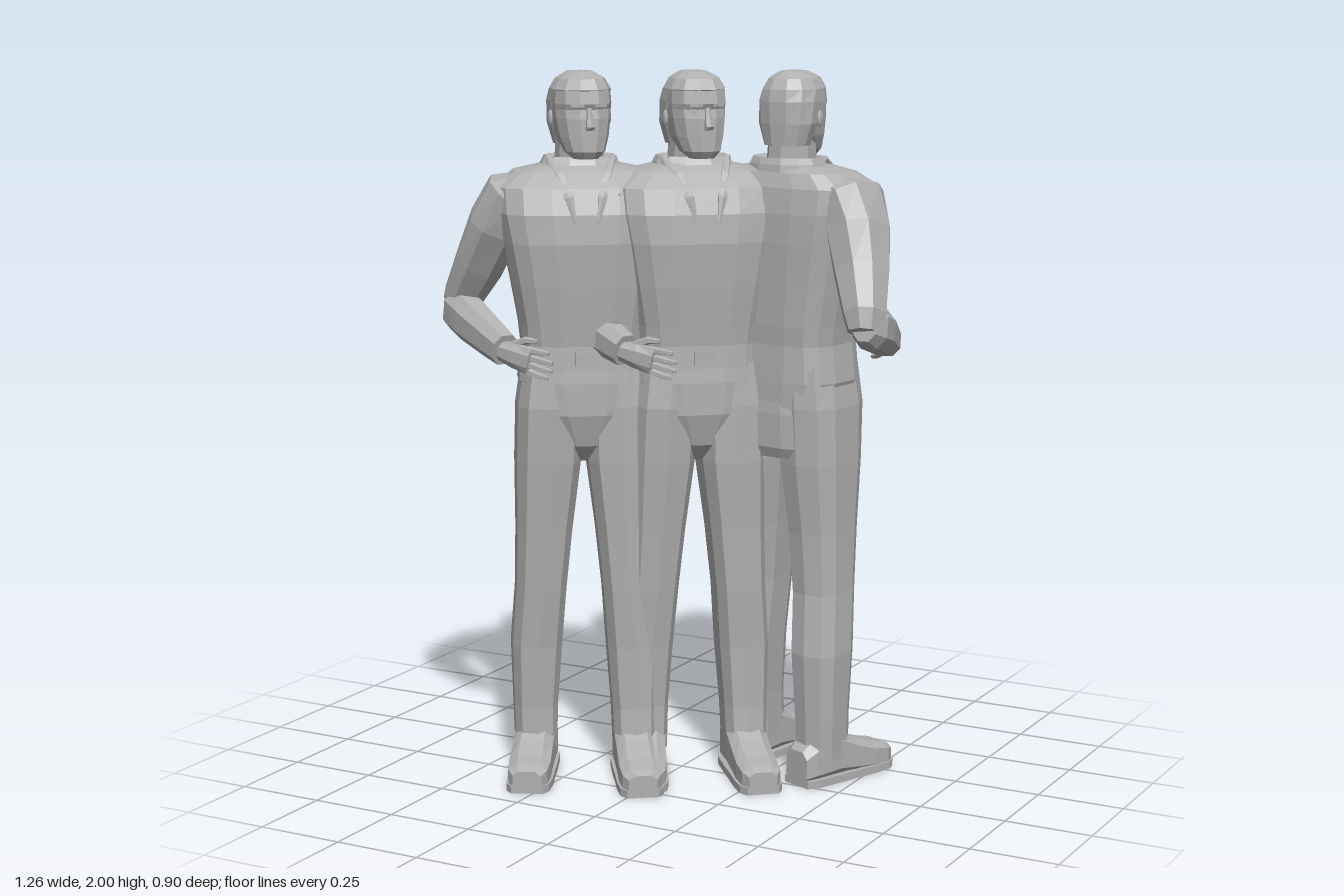
import * as THREE from 'three';

const grey = new THREE.MeshStandardMaterial({ color: 0xb0b0b0 });
grey.name = 'stone grey';
const V = (x, y, z) => new THREE.Vector3(x, y, z);
const Y = V(0, 1, 0), Z = V(0, 0, 1);

function addMesh(parent, name, geometry) {
  const flat = geometry.index ? geometry.toNonIndexed() : geometry;
  flat.computeVertexNormals(); // unshared corners give faceted shading
  const mesh = new THREE.Mesh(flat, grey);
  mesh.name = name;
  parent.add(mesh);
  return mesh;
}

// Closed skin over sections [x, y, z, radiusU, radiusV]; power squares the rings off.
function loft(sections, { sides = 10, axis = null, ref = Z, power = 2.4 } = {}) {
  const pos = [], index = [], n = sections.length;
  const centres = sections.map(s => V(s[0], s[1], s[2]));
  const bend = a => Math.sign(a) * Math.abs(a) ** (2 / power);
  sections.forEach((s, i) => {
    const t = axis ? axis.clone()
      : centres[Math.min(i + 1, n - 1)].clone().sub(centres[Math.max(i - 1, 0)]).normalize();
    const u = t.clone().cross(ref).normalize();
    const v = u.clone().cross(t);
    for (let j = 0; j < sides; j++) {
      const a = (j + 0.5) / sides * Math.PI * 2;
      const p = centres[i].clone()
        .addScaledVector(u, s[3] * bend(Math.cos(a)))
        .addScaledVector(v, s[4] * bend(Math.sin(a)));
      pos.push(p.x, p.y, p.z);
    }
  });
  for (const c of [centres[0], centres[n - 1]]) pos.push(c.x, c.y, c.z);
  for (let j = 0; j < sides; j++) {
    const k = (j + 1) % sides, end = (n - 1) * sides;
    for (let i = 0; i < n - 1; i++) {
      const a = i * sides + j, c = i * sides + k;
      index.push(a, a + sides, c, a + sides, c + sides, c);
    }
    index.push(n * sides, j, k, n * sides + 1, end + k, end + j);
  }
  const g = new THREE.BufferGeometry();
  g.setAttribute('position', new THREE.Float32BufferAttribute(pos, 3));
  g.setIndex(index);
  return g;
}

function box(parent, name, size, at) {
  const m = addMesh(parent, name, new THREE.BoxGeometry(...size));
  m.position.set(...at);
  return m;
}

function buildHead(man) {
  const head = new THREE.Group();
  head.name = 'head';
  head.rotation.y = 0.17;
  man.add(head);
  addMesh(head, 'neck', loft([[0, 1.69, -0.02, 0.07, 0.07], [0, 1.83, -0.015, 0.062, 0.068]], { axis: Y }));
  addMesh(head, 'face', loft([
    [0, 1.765, 0.05, 0.036, 0.036], [0, 1.785, 0.038, 0.056, 0.062], [0, 1.825, 0.014, 0.071, 0.086],
    [0, 1.875, 0.003, 0.079, 0.096], [0, 1.9, 0, 0.081, 0.094], [0, 1.915, 0, 0.082, 0.102],
    [0, 1.955, -0.003, 0.08, 0.098], [0, 1.985, -0.005, 0.055, 0.07]], { axis: Y, sides: 12 }));
  addMesh(head, 'hair', loft([
    [0, 1.8, -0.045, 0.064, 0.058], [0, 1.86, -0.04, 0.083, 0.068], [0, 1.92, -0.026, 0.086, 0.084],
    [0, 1.953, -0.003, 0.083, 0.102], [0, 1.982, -0.003, 0.066, 0.085], [0, 2, -0.008, 0.035, 0.045]],
  { axis: Y, sides: 12, power: 2.2 }));
  addMesh(head, 'nose', loft([
    [0, 1.845, 0.1, 0.015, 0.012], [0, 1.854, 0.105, 0.013, 0.014], [0, 1.905, 0.092, 0.007, 0.009]],
  { axis: Y, sides: 6, power: 2 }));
  box(head, 'mouth', [0.042, 0.007, 0.008], [0, 1.818, 0.096]);
  for (const s of [-1, 1]) {
    box(head, 'brow', [0.036, 0.009, 0.01], [s * 0.032, 1.912, 0.091]).rotation.y = s * 0.25;
    box(head, 'eye', [0.024, 0.008, 0.008], [s * 0.033, 1.892, 0.086]).rotation.y = s * 0.3;
    const ear = addMesh(head, 'ear', new THREE.IcosahedronGeometry(1, 1));
    ear.scale.set(0.007, 0.024, 0.014);
    ear.position.set(s * 0.083, 1.872, -0.01);
  }
}

// Palm, four fingers and thumb, running from the wrist along dir and spread along across.
function buildHand(man, name, wrist, dir, across, curl) {
  const hand = new THREE.Group();
  hand.name = name;
  man.add(hand);
  const d = dir.normalize();
  const at = (along, side, bend, ru, rv) => {
    const p = wrist.clone().addScaledVector(d, along).addScaledVector(across, side).addScaledVector(curl, bend);
    return [p.x, p.y, p.z, ru, rv];
  };
  addMesh(hand, 'palm', loft([at(-0.02, 0, 0, 0.022, 0.028), at(0.03, 0, 0, 0.022, 0.036),
    at(0.085, 0, 0, 0.015, 0.038)], { sides: 8, ref: across }));
  for (let k = 0; k < 4; k++) {
    const side = (k - 1.5) * 0.02, reach = [0.055, 0.07, 0.072, 0.06][k];
    addMesh(hand, 'finger', loft([at(0.075, side, 0, 0.011, 0.01), at(0.075 + reach * 0.55, side * 1.1, 0.008, 0.01, 0.009),
      at(0.075 + reach, side * 1.15, 0.026, 0.006, 0.006)], { sides: 5, ref: across, power: 2 }));
  }
  addMesh(hand, 'thumb', loft([at(0.02, 0.025, 0.005, 0.013, 0.013), at(0.06, 0.05, 0.015, 0.011, 0.011),
    at(0.095, 0.056, 0.025, 0.006, 0.006)], { sides: 5, ref: across, power: 2 }));
}

function buildArms(man) {
  // Right arm held out, with the forearm across the front
  addMesh(man, 'rightUpperArm', loft([
    [-0.14, 1.69, -0.005, 0.04, 0.08], [-0.2, 1.665, -0.005, 0.07, 0.11], [-0.235, 1.58, -0.025, 0.078, 0.102],
    [-0.278, 1.47, -0.068, 0.072, 0.08], [-0.325, 1.365, -0.12, 0.056, 0.062], [-0.335, 1.32, -0.138, 0.042, 0.045]], { sides: 8 }));
  addMesh(man, 'rightForearm', loft([
    [-0.342, 1.34, -0.145, 0.035, 0.045], [-0.334, 1.332, -0.105, 0.052, 0.064], [-0.305, 1.31, -0.03, 0.054, 0.062],
    [-0.25, 1.27, 0.085, 0.045, 0.052], [-0.224, 1.252, 0.14, 0.04, 0.046]], { sides: 8, ref: Y }));
  buildHand(man, 'rightHand', V(-0.22, 1.247, 0.148), V(0.1, -0.03, 0.095), Y, V(0.5, 0, -0.4));
  // Left arm hanging, elbow back
  addMesh(man, 'leftUpperArm', loft([
    [0.14, 1.69, -0.005, 0.04, 0.08], [0.2, 1.665, -0.005, 0.07, 0.11], [0.227, 1.57, -0.022, 0.07, 0.098],
    [0.25, 1.45, -0.05, 0.062, 0.076], [0.265, 1.34, -0.075, 0.053, 0.062]], { sides: 8 }));
  addMesh(man, 'leftForearm', loft([
    [0.262, 1.38, -0.075, 0.048, 0.056], [0.27, 1.3, -0.07, 0.054, 0.062], [0.275, 1.2, -0.04, 0.05, 0.054],
    [0.272, 1.1, -0.012, 0.04, 0.044]], { sides: 8 }));
  buildHand(man, 'leftHand', V(0.272, 1.09, -0.01), V(-0.01, -0.15, 0.015), Z, V(-1, 0, 0));
}

function buildTorso(man) {
  addMesh(man, 'jacket', loft([
    [0, 1.255, 0.002, 0.172, 0.137], [0, 1.31, 0.003, 0.178, 0.142], [0, 1.42, 0.008, 0.198, 0.15],
    [0, 1.54, 0.011, 0.221, 0.157], [0, 1.62, 0.009, 0.238, 0.154], [0, 1.69, 0.002, 0.24, 0.138],
    [0, 1.73, -0.014, 0.185, 0.106], [0, 1.75, -0.02, 0.09, 0.075]], { axis: Y, sides: 16, power: 3.4 }));
  addMesh(man, 'collar', loft([
    [0, 1.7, -0.018, 0.125, 0.108], [0, 1.75, -0.028, 0.11, 0.09], [0, 1.768, -0.03, 0.1, 0.08],
    [0, 1.755, -0.028, 0.075, 0.07]], { axis: Y, sides: 12 }));
  addMesh(man, 'belt', loft([[0, 1.185, 0, 0.178, 0.131], [0, 1.258, 0, 0.17, 0.129]], { axis: Y, sides: 16, power: 3.2 }));
  box(man, 'buckle', [0.06, 0.04, 0.014], [0, 1.22, 0.129]);
  for (const s of [-1, 1]) {
    addMesh(man, 'lapel', loft([
      [s * 0.09, 1.76, 0.01, 0.01, 0.014], [s * 0.07, 1.72, 0.09, 0.02, 0.012], [s * 0.045, 1.665, 0.148, 0.014, 0.01],
      [s * 0.032, 1.6, 0.163, 0.004, 0.004]], { sides: 6 }));
  }
}

function buildLegs(man) {
  addMesh(man, 'hips', loft([
    [0, 0.92, 0, 0.03, 0.06], [0, 0.97, 0, 0.08, 0.108], [0, 1.06, 0.002, 0.15, 0.132],
    [0, 1.15, 0.002, 0.182, 0.132], [0, 1.24, 0, 0.172, 0.127]], { axis: Y, sides: 16, power: 3 }));
  addMesh(man, 'seat', loft([
    [0, 0.935, -0.06, 0.115, 0.06], [0, 0.965, -0.064, 0.135, 0.068], [0, 1.06, -0.062, 0.13, 0.071],
    [0, 1.18, -0.056, 0.1, 0.066]], { axis: Y, sides: 12, power: 3 }));
  for (const s of [-1, 1]) {
    const side = s > 0 ? 'left' : 'right', step = s > 0 ? 0.04 : -0.035;
    const leg = [
      [0.138, 0.07, 0, 0.06, 0.078], [0.138, 0.2, -0.008, 0.064, 0.08], [0.134, 0.38, -0.01, 0.073, 0.09],
      [0.122, 0.55, 0.006, 0.073, 0.09], [0.112, 0.72, 0.008, 0.08, 0.1], [0.1, 0.92, 0.005, 0.093, 0.12],
      [0.096, 1.08, 0.004, 0.092, 0.128], [0.09, 1.2, 0.003, 0.08, 0.12]
    ].map(([x, y, z, ru, rv]) => [s * x, y, z + step * Math.max(1 - y / 1.08, 0), ru, rv]); // one foot ahead
    addMesh(man, side + 'Trouser', loft(leg, { axis: Y, sides: 10, power: 2.9 }));

    const shoe = new THREE.Group();
    shoe.name = side + 'Shoe';
    shoe.position.set(s * 0.136, 0, step);
    shoe.rotation.y = s > 0 ? 0 : -0.2;
    man.add(shoe);
    // Each row: z, half width, height
    const upper = [[-0.095, 0.045, 0.1], [-0.06, 0.057, 0.13], [0.03, 0.06, 0.15], [0.09, 0.06, 0.115],
      [0.16, 0.062, 0.085], [0.215, 0.058, 0.072], [0.24, 0.042, 0.06]];
    addMesh(shoe, 'upper', loft(upper.map(([z, w, h]) => [0, h / 2 + 0.005, z, w, h / 2]),
      { axis: Z, ref: Y, sides: 8, power: 3.2 }));
    const rim = [...upper.map(([z, w]) => [w + 0.003, z]), ...upper.map(([z, w]) => [-w - 0.003, z]).reverse()];
    const outline = new THREE.Shape(rim.map(([x, z]) => new THREE.Vector2(x, -z)));
    const sole = new THREE.ExtrudeGeometry(outline, { depth: 0.022, bevelEnabled: false });
    addMesh(shoe, 'sole', sole.rotateX(-Math.PI / 2));
  }
}

function buildMan(name, x, z, degrees) {
  const man = new THREE.Group();
  man.name = name;
  buildHead(man);
  buildTorso(man);
  buildArms(man);
  buildLegs(man);
  man.position.set(x, 0, z);
  man.rotation.y = THREE.MathUtils.degToRad(degrees);
  return man;
}

export function createModel() {
  const group = new THREE.Group();
  group.name = 'three standing men';
  group.add(
    buildMan('rightMan', -0.235, 0.153, 36),
    buildMan('middleMan', 0.035, -0.008, 41),
    buildMan('leftMan', 0.275, -0.147, 170));
  return group;
}
